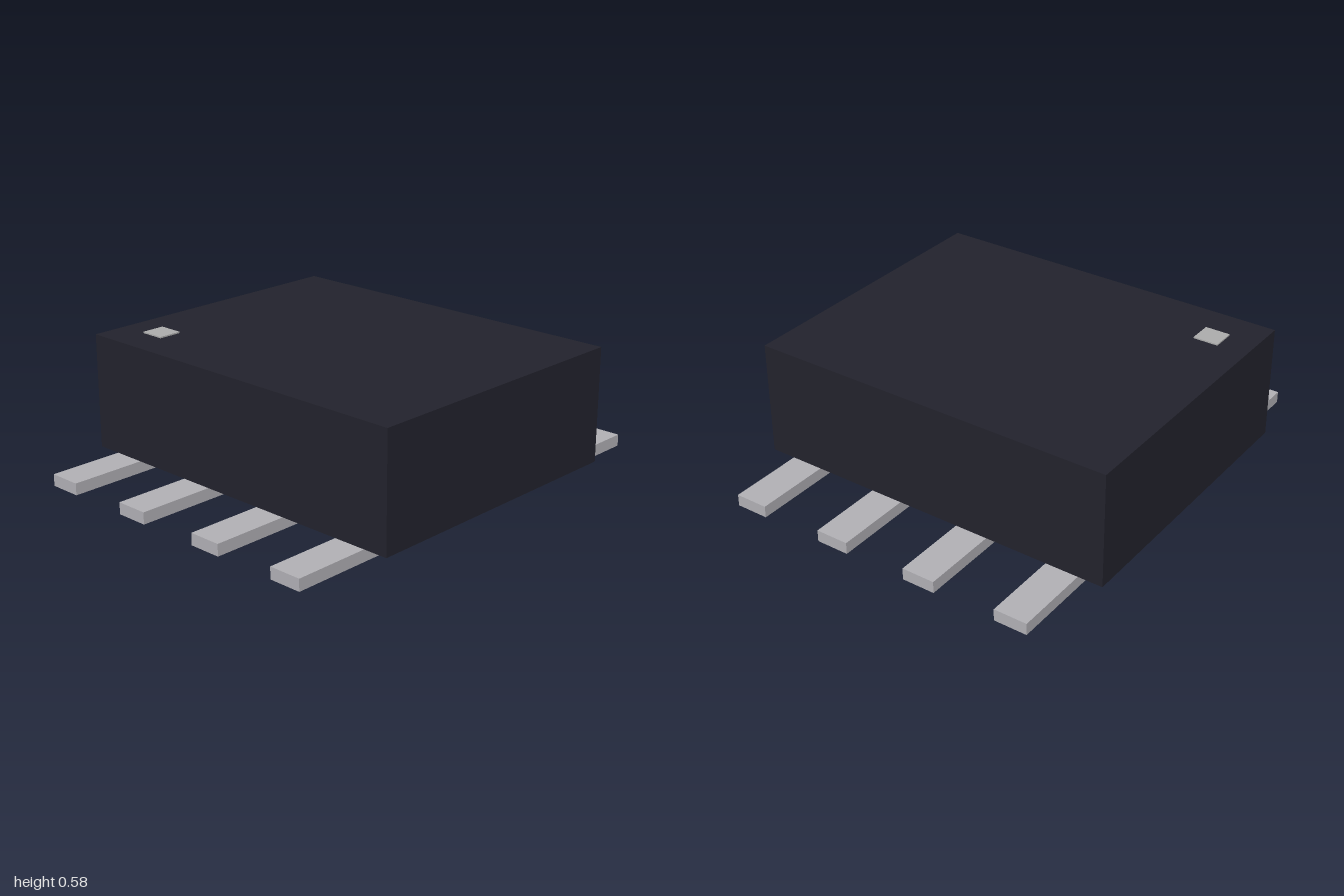
import * as THREE from 'three';

export function createModel() {
  const model = new THREE.Group();
  const paint = (name, color) => {
    const material = new THREE.MeshStandardMaterial({ color });
    material.name = name;
    return material;
  };
  const plastic = paint('dark plastic', 0x22222c);
  const metal = paint('lead metal', 0xb0afb4);
  const markGrey = paint('mark grey', 0xababab);

  // Box given by its lower and upper corners
  const addBox = (name, material, [x0, y0, z0], [x1, y1, z1]) => {
    const mesh = new THREE.Mesh(new THREE.BoxGeometry(x1 - x0, y1 - y0, z1 - z0), material);
    mesh.position.set((x0 + x1) / 2, (y0 + y1) / 2, (z0 + z1) / 2);
    mesh.name = name;
    model.add(mesh);
  };

  // Package body and the corner mark on its top
  addBox('body', plastic, [-0.66, 0.067, -0.83], [0.66, 0.575, 0.83]);
  addBox('cornerMark', markGrey, [-0.51, 0.574, -0.697], [-0.405, 0.581, -0.585]);

  // Four flat leads along each side
  for (const z of [-0.645, -0.215, 0.215, 0.645]) {
    addBox('leftLead', metal, [0.527, 0.015, z - 0.074], [1, 0.067, z + 0.074]);
    addBox('rightLead', metal, [-1, 0.015, z - 0.074], [-0.527, 0.067, z + 0.074]);
  }

  // Thin strip below the middle of the body
  addBox('centreStrip', metal, [-0.527, 0, -0.051], [0.527, 0.022, 0.051]);

  return model;
}
